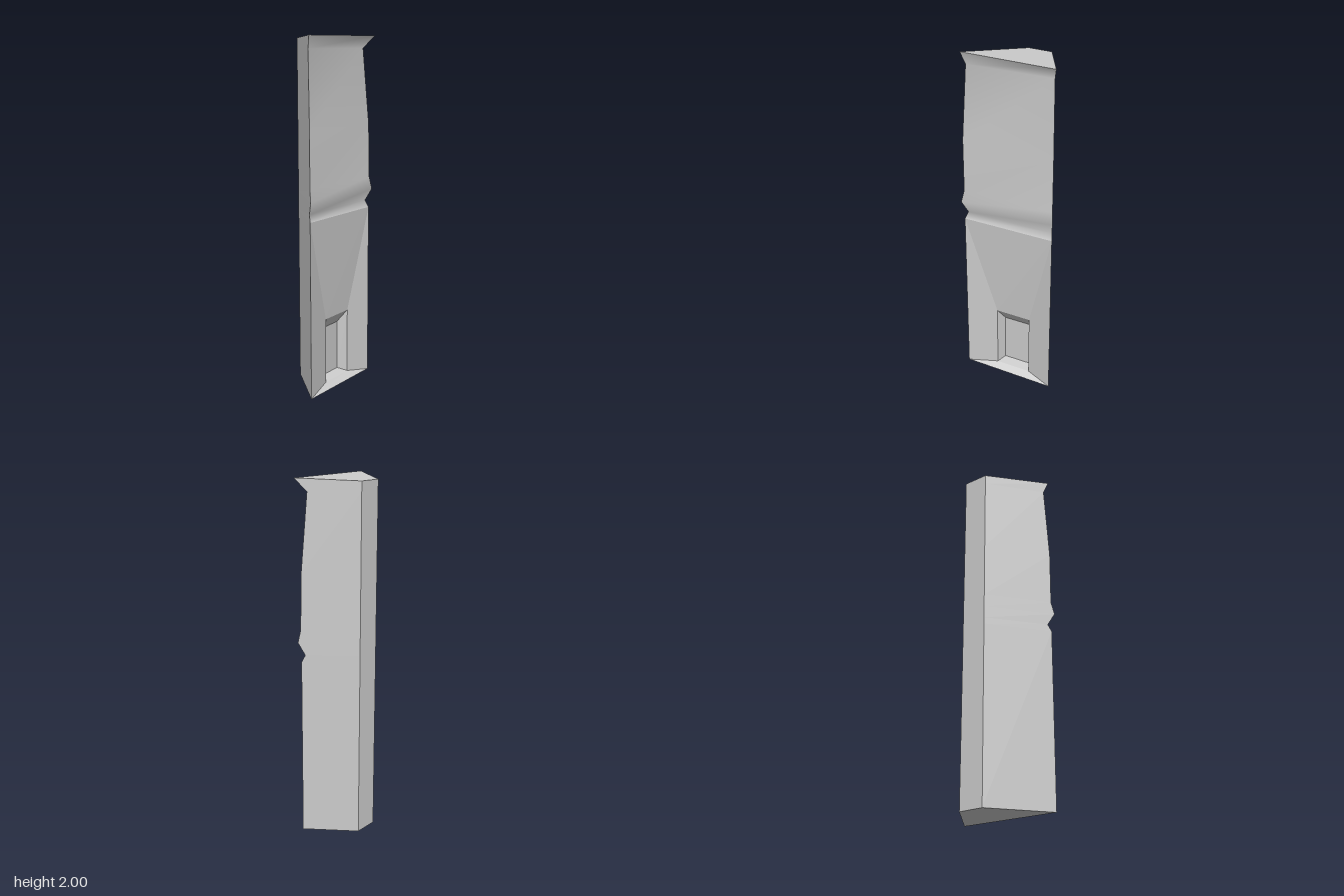
import * as THREE from 'three';

const material = new THREE.MeshStandardMaterial({ color: 0xcccccc });

// Flat-shaded mesh from convex polygons, corners counter-clockwise from outside
function facets(name, polygons) {
  const points = [];
  for (const p of polygons) {
    for (let i = 1; i < p.length - 1; i++) points.push(...p[0], ...p[i], ...p[i + 1]);
  }
  const geometry = new THREE.BufferGeometry();
  geometry.setAttribute('position', new THREE.Float32BufferAttribute(points, 3));
  geometry.computeVertexNormals();
  const mesh = new THREE.Mesh(geometry, material);
  mesh.name = name;
  return mesh;
}

// Smooth-shaded strip between two columns of corners
function smoothStrip(name, left, right) {
  const points = [], index = [];
  left.forEach((p, i) => {
    points.push(...p, ...right[i]);
    const k = i * 2;
    if (i < left.length - 1) index.push(k, k + 1, k + 3, k, k + 3, k + 2);
  });
  const geometry = new THREE.BufferGeometry();
  geometry.setAttribute('position', new THREE.Float32BufferAttribute(points, 3));
  geometry.setIndex(index);
  geometry.computeVertexNormals();
  const mesh = new THREE.Mesh(geometry, material);
  mesh.name = name;
  return mesh;
}

// Flat wall between two columns of corners
function wall(name, left, right) {
  const quads = [];
  for (let i = 0; i < left.length - 1; i++) quads.push([left[i], right[i], right[i + 1], left[i + 1]]);
  return facets(name, quads);
}

export function createModel() {
  const group = new THREE.Group();

  // Moulding profile: height, z of the forward edge, x of the side edge
  const profile = [
    [0, 0.228, 0.192], [1.01, 0.228, 0.192], [1.05, 0.206, 0.172], [1.12, 0.247, 0.21],
    [1.19, 0.228, 0.195], [1.5, 0.228, 0.19], [1.93, 0.2, 0.157], [2, 0.23, 0.222],
  ];
  const forward = profile.map(([y, z]) => [-0.22, y, z]);
  const side = profile.map(([y, , x]) => [x, y, -0.25 + (x + 0.115) * 0.29]);
  const backY = (y) => Math.min(y, 1.987);
  const backSide = profile.map(([y]) => [-0.115, backY(y), -0.25]);
  const backLeft = profile.map(([y]) => [-0.225, backY(y), -0.157]);

  // Moulded upper face and the plain walls around the block
  group.add(smoothStrip('upperFace', forward.slice(1), side.slice(1)));
  group.add(wall('rearWall', side, backSide));
  group.add(wall('chamferWall', [backSide[0], backSide[7]], [backLeft[0], backLeft[7]]));
  group.add(wall('sideWall', backLeft, forward));
  group.add(facets('topCap', [[forward[7], side[7], backSide[7], backLeft[7]]]));
  group.add(facets('base', [[backLeft[0], backSide[0], side[0], forward[0]]]));

  // Niche corners: outer rim and inner back wall, bottom then top
  const rimA = [0.03, 0.41].map((y) => [-0.108, y, 0.07]);
  const rimB = [0.03, 0.41].map((y) => [0.048, y, -0.08]);
  const innerA = [0.045, 0.335].map((y) => [-0.128, y, 0.013]);
  const innerB = [0.045, 0.335].map((y) => [-0.01, y, -0.103]);
  const [a0, a1] = forward, [c0, c1] = side;

  // Lower face leaning inward towards the niche
  group.add(facets('lowerFace', [
    [a0, rimA[0], rimA[1], a1],
    [rimB[0], c0, c1, rimB[1]],
    [rimA[1], rimB[1], c1, a1],
  ]));
  group.add(facets('niche', [
    [rimA[0], innerA[0], innerA[1], rimA[1]],
    [innerA[0], innerB[0], innerB[1], innerA[1]],
    [innerB[0], rimB[0], rimB[1], innerB[1]],
    [rimA[1], innerA[1], innerB[1], rimB[1]],
  ]));
  group.add(facets('sill', [
    [a0, c0, rimB[0], rimA[0]],
    [rimA[0], rimB[0], innerB[0], innerA[0]],
  ]));
  return group;
}
